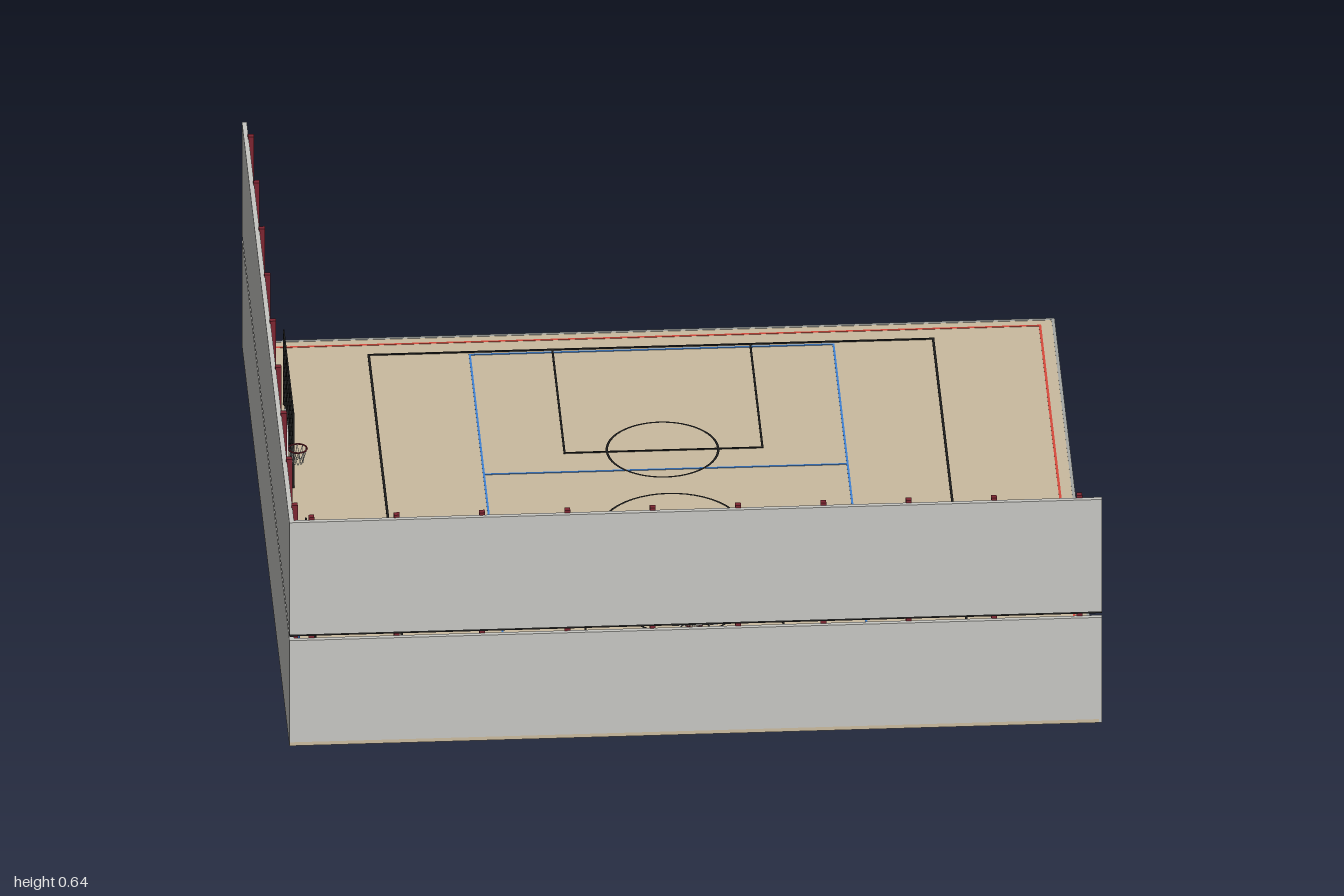
import * as THREE from 'three';

const mat = (name, color) => Object.assign(new THREE.MeshStandardMaterial({ color }), { name });

export function createModel() {
  const wallGrey = mat('wall grey', 0xc6c6c2), tan = mat('floor tan', 0xcabb9f);
  const black = mat('black', 0x1c1c1c), maroon = mat('column maroon', 0x7c2430);
  const red = mat('line red', 0xd8493c), lineBlue = mat('line blue', 0x3f82d6);
  const matBlue = mat('mat blue', 0x2a5f9c), teal = mat('window teal', 0x92c2c2);
  const grey = mat('door grey', 0xa6a8a5), white = mat('white', 0xf0f0ec);
  white.side = black.side = THREE.DoubleSide;

  const root = new THREE.Group();
  const group = (name, parent = root) => {
    const g = new THREE.Group();
    g.name = name;
    parent.add(g);
    return g;
  };
  const add = (parent, name, geo, m) => {
    const mesh = new THREE.Mesh(geo, m);
    mesh.name = name;
    parent.add(mesh);
    return mesh;
  };
  // Box given by its lower and upper limits on each axis
  const box = (parent, name, m, x0, x1, y0, y1, z0, z1) => {
    const mesh = add(parent, name, new THREE.BoxGeometry(x1 - x0, y1 - y0, z1 - z0), m);
    mesh.position.set((x0 + x1) / 2, (y0 + y1) / 2, (z0 + z1) / 2);
    return mesh;
  };
  // Thin round bar between two points
  const rod = (parent, name, m, a, b, r) => {
    const p = new THREE.Vector3(...a), d = new THREE.Vector3(...b).sub(p);
    const mesh = add(parent, name, new THREE.CylinderGeometry(r, r, d.length(), 6), m);
    mesh.position.copy(p).addScaledVector(d, 0.5);
    mesh.quaternion.setFromUnitVectors(new THREE.Vector3(0, 1, 0), d.normalize());
    return mesh;
  };

  // Floor slab with a dark rim on the two open sides
  const TOP = 0.01;
  box(root, 'floor', tan, -1, 0.992, 0, TOP, -0.992, 1);
  box(root, 'backRim', grey, -1, 1, 0, TOP + 0.001, -1, -0.992);
  box(root, 'sideRim', grey, 0.992, 1, 0, TOP + 0.001, -0.992, 0.985);

  // Court markings
  const court = group('courtMarkings');
  const line = (m, x0, z0, x1, z1, w, h) =>
    box(court, 'courtLine', m, x0 - w / 2, x1 + w / 2, TOP - 0.001, TOP + h, z0 - w / 2, z1 + w / 2);
  const rect = (m, x0, z0, x1, z1, w, h) => {
    line(m, x0, z0, x1, z0, w, h);
    line(m, x0, z1, x1, z1, w, h);
    line(m, x0, z0, x0, z1, w, h);
    line(m, x1, z0, x1, z1, w, h);
  };
  const circle = (z, r) => {
    const c = add(court, 'courtCircle', new THREE.RingGeometry(r - 0.003, r + 0.003, 48), black);
    c.rotation.x = -Math.PI / 2;
    c.position.set(0, TOP + 0.0025, z);
  };
  rect(red, -0.955, -0.966, 0.962, 0.951, 0.006, 0.001);
  rect(lineBlue, -0.445, -0.902, 0.45, 0.887, 0.005, 0.0015);
  line(lineBlue, -0.445, -0.305, 0.45, -0.305, 0.005, 0.0015);
  line(lineBlue, -0.445, 0.288, 0.45, 0.288, 0.005, 0.0015);
  rect(black, -0.693, -0.915, 0.696, 0.902, 0.006, 0.002);
  line(black, -0.693, -0.005, 0.696, -0.005, 0.006, 0.002);
  rect(black, -0.241, -0.915, 0.246, -0.399, 0.005, 0.002);
  rect(black, -0.241, 0.386, 0.246, 0.902, 0.005, 0.002);
  circle(-0.005, 0.175);
  circle(-0.399, 0.137);
  circle(0.386, 0.137);

  // A wall in its own frame: u along x, inner face at z = 0, room towards +z
  const buildWall = (name, columns, windows, windowWidth) => {
    const w = group(name);
    box(w, 'lowerWall', wallGrey, -1, 1, 0, 0.297, -0.012, 0);
    box(w, 'upperWall', wallGrey, -1, 1, 0.314, 0.63, -0.012, 0);
    box(w, 'gapRail', black, -1, 1, 0.308, 0.314, -0.01, 0.002);
    box(w, 'baseboard', maroon, -0.985, 1, TOP, 0.017, 0, 0.004);
    for (const u of columns) box(w, 'column', maroon, u - 0.007, u + 0.007, 0.02, 0.637, -0.002, 0.013);
    for (const u of windows) {
      const h = windowWidth / 2;
      box(w, 'windowFrame', black, u - h - 0.003, u + h + 0.003, 0.436, 0.51, 0, 0.002);
      box(w, 'windowPane', teal, u - h, u + h, 0.439, 0.507, 0, 0.004);
    }
    return w;
  };
  const series = (n, start, step) => Array.from({ length: n }, (_, i) => start + i * step);

  // Basketball goal, in a wall frame
  const addGoal = (wall, u) => {
    const g = group('basketballGoal', wall);
    g.position.x = u;
    box(g, 'backboard', white, -0.056, 0.056, 0.28, 0.352, 0.036, 0.041);
    for (const s of [-1, 1]) {
      rod(g, 'upperArm', black, [s * 0.045, 0.345, 0], [s * 0.015, 0.315, 0.037], 0.002);
      rod(g, 'lowerArm', black, [s * 0.045, 0.285, 0], [s * 0.015, 0.3, 0.037], 0.002);
      rod(g, 'boardBrace', black, [s * 0.036, 0.338, 0.041], [s * 0.014, 0.324, 0.041], 0.002);
      rod(g, 'hoopBracket', maroon, [s * 0.012, 0.272, 0.045], [s * 0.012, 0.29, 0.04], 0.002);
    }
    const hoop = add(g, 'hoop', new THREE.TorusGeometry(0.023, 0.002, 6, 20), maroon);
    hoop.rotation.x = Math.PI / 2;
    hoop.position.set(0, 0.27, 0.067);
    // Net cords cross each other as they taper down
    for (let i = 0; i < 10; i++) for (const s of [-1, 1]) {
      const a = i * Math.PI / 5, b = a + s * 0.6;
      rod(g, 'netCord', white, [0.023 * Math.cos(a), 0.27, 0.067 + 0.023 * Math.sin(a)],
        [0.013 * Math.cos(b), 0.23, 0.067 + 0.013 * Math.sin(b)], 0.0008);
    }
  };

  // Front wall, turned to look towards -z, with double doors
  const front = buildWall('frontWall', series(10, -0.945, 0.21), series(7, -0.786, 0.262), 0.17);
  front.rotation.y = Math.PI;
  front.position.z = 0.988;
  for (const u of series(5, -0.735, 0.363)) {
    const d = group('doubleDoor', front);
    d.position.x = u;
    box(d, 'doorFrame', black, -0.079, 0.079, TOP, 0.215, 0, 0.003);
    for (const s of [-1, 1]) {
      const leaf = box(d, 'doorLeaf', grey, -0.037, 0.037, TOP, 0.211, 0, 0.006);
      leaf.position.x = s * 0.0385;
      const handle = box(d, 'doorHandle', maroon, -0.004, 0.004, 0.11, 0.125, 0.005, 0.012);
      handle.position.x = s * 0.01;
    }
  }
  addGoal(front, 0);

  // Side wall, turned to look towards +x; its u axis runs towards -z
  const side = buildWall('sideWall', series(9, -0.92, 0.23), series(8, -0.757, 0.2155), 0.146);
  side.rotation.y = Math.PI / 2;
  side.position.x = -0.988;
  addGoal(side, 0.003);

  // Two gym stations: ladders, padded mats and a railing
  for (const u of [-0.465, 0.473]) {
    const s = group('gymStation', side);
    s.position.x = u;
    for (const c of [-0.135, 0.135]) {
      for (const e of [-0.065, 0.065])
        box(s, 'ladderPost', black, c + e - 0.003, c + e + 0.003, 0.03, 0.287, 0.001, 0.012);
      for (const y of series(9, 0.05, 0.0285)) {
        box(s, 'ladderRung', tan, c - 0.065, c + 0.065, y - 0.004, y + 0.005, 0.003, 0.01);
        box(s, 'rungEdge', black, c - 0.065, c + 0.065, y - 0.007, y - 0.004, 0.003, 0.01);
      }
    }
    for (const [c, m] of [[-0.131, matBlue], [0, grey], [0.131, matBlue]]) {
      box(s, 'paddedMat', m, c - 0.057, c + 0.057, TOP, 0.22, 0.012, 0.034);
      box(s, 'matTrim', black, c - 0.057, c + 0.057, 0.22, 0.223, 0.012, 0.034);
    }
    for (const y of series(6, 0.042, 0.0355))
      box(s, 'railingBar', black, -0.207, 0.207, y - 0.002, y + 0.002, 0.07, 0.074);
    for (const c of [-0.207, -0.069, 0.069, 0.207])
      box(s, 'railingPost', black, c - 0.0015, c + 0.0015, TOP, 0.222, 0.07, 0.074);
  }
  return root;
}
